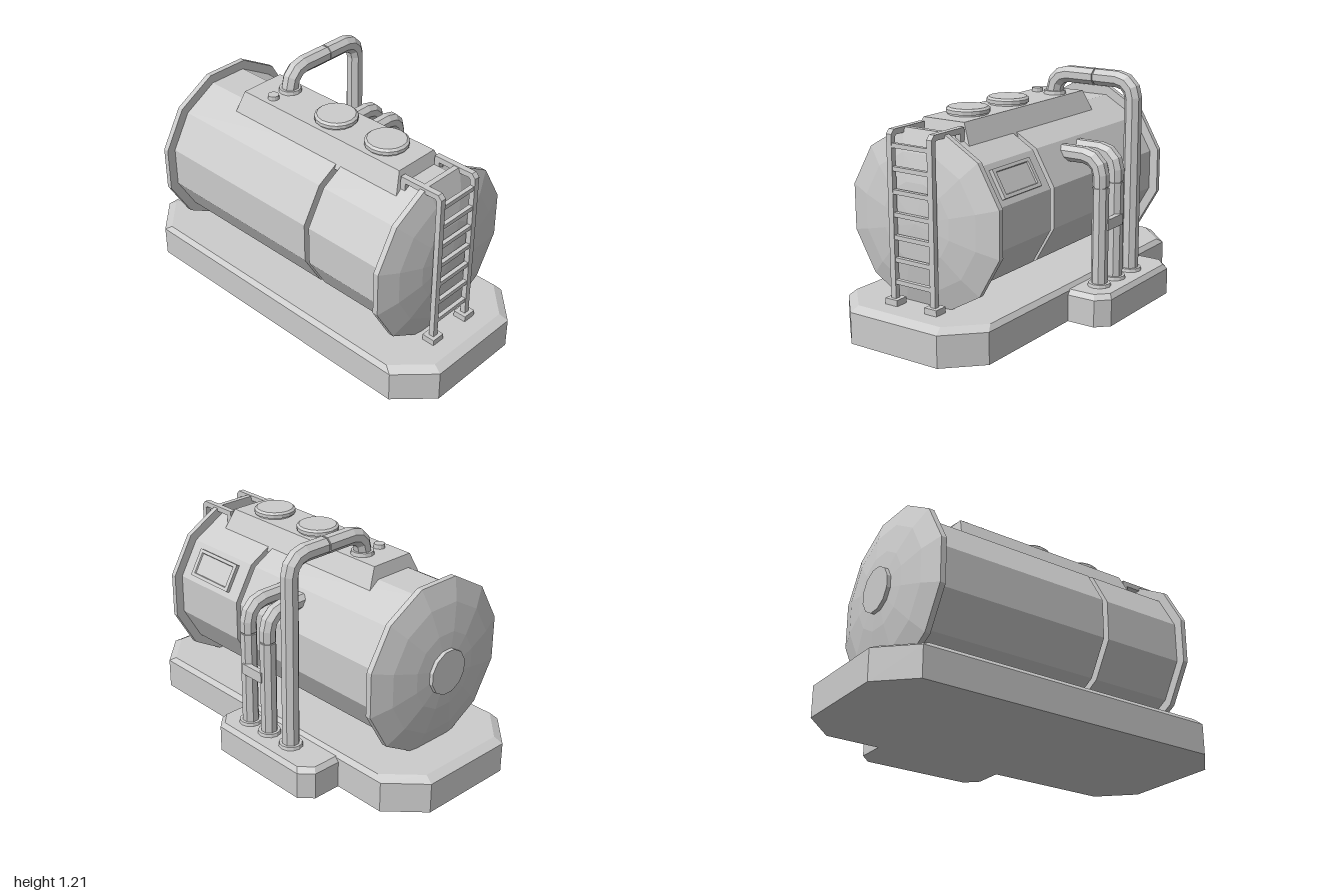
import * as THREE from 'three';

const material = new THREE.MeshStandardMaterial({ color: 0xcccccc, flatShading: true });
const TANK_X = -0.108, TANK_Y = 0.6;

function add(parent, name, geometry, x = 0, y = 0, z = 0) {
  const mesh = new THREE.Mesh(geometry, material);
  mesh.name = name;
  mesh.position.set(x, y, z);
  parent.add(mesh);
  return mesh;
}

// Closed solid through rings of corners, each running counterclockwise about the direction of travel
function loft(rings) {
  const n = rings[0].length, index = [];
  for (let r = 0; r < rings.length - 1; r++) {
    for (let i = 0; i < n; i++) {
      const j = (i + 1) % n, a = r * n, b = a + n;
      index.push(a + i, a + j, b + j, a + i, b + j, b + i);
    }
  }
  const last = (rings.length - 1) * n;
  for (let i = 1; i < n - 1; i++) index.push(0, i + 1, i, last, last + i, last + i + 1);
  const geometry = new THREE.BufferGeometry();
  geometry.setAttribute('position', new THREE.Float32BufferAttribute(rings.flat(2), 3));
  geometry.setIndex(index);
  geometry.computeVertexNormals();
  return geometry;
}

// Horizontal rectangle with cut corners
function plate(y, x0, x1, z0, z1, c = 0) {
  return [[x1, z1 - c], [x1, z0 + c], [x1 - c, z0], [x0 + c, z0],
    [x0, z0 + c], [x0, z1 - c], [x0 + c, z1], [x1 - c, z1]].map(([x, z]) => [x, y, z]);
}

// Eight-sided pipe along a path of [x, y, radiusScale], mitred at the bends
function pipe(path, radius) {
  const direction = (a, b) => new THREE.Vector2(b[0] - a[0], b[1] - a[1]).normalize();
  return loft(path.map((p, k) => {
    const d0 = direction(path[Math.max(k - 1, 0)], path[Math.max(k, 1)]);
    const d1 = direction(path[Math.min(k, path.length - 2)], path[Math.min(k + 1, path.length - 1)]);
    const t = d0.clone().add(d1).normalize();
    const r = radius * (p[2] ?? 1), miter = r / t.dot(d0);
    return Array.from({ length: 8 }, (_, i) => {
      const a = (i + 0.5) * Math.PI / 4, c = Math.cos(a) * miter;
      return [p[0] - t.y * c, p[1] + t.x * c, Math.sin(a) * r];
    });
  }));
}

// Clockwise quarter bend about a centre, starting at a given angle
function bend(cx, cy, r, start) {
  return [0, 1, 2, 3].map(i => {
    const a = start - i * Math.PI / 6;
    return [cx + r * Math.cos(a), cy + r * Math.sin(a)];
  });
}

// Narrow groove across a straight run
function groove(x, y, dx, dy) {
  return [[-1, 1], [-0.9, 0.86], [0.9, 0.86], [1, 1]].map(([k, s]) => [x + dx * k, y + dy * k, s]);
}

function collar(parent, name, radius, height, x, y, z, sides = 12) {
  return add(parent, name, new THREE.CylinderGeometry(radius * 0.94, radius, height, sides), x, y + height / 2, z);
}

function createModel() {
  const model = new THREE.Group();
  model.name = 'storageTank';

  // Plinths with chamfered tops
  add(model, 'base', loft([
    plate(0, -0.54, 0.325, -1, 1, 0.17), plate(0.16, -0.54, 0.325, -1, 1, 0.17),
    plate(0.185, -0.52, 0.305, -0.955, 0.955, 0.163)]));
  add(model, 'pipeBase', loft([
    plate(0, 0.2, 0.54, -0.545, 0.165, 0.063), plate(0.14, 0.2, 0.54, -0.545, 0.165, 0.063),
    plate(0.165, 0.2, 0.523, -0.525, 0.145, 0.06)]));

  // Twelve-sided tank: domed ends, rims and a seam groove
  const profile = [[0, -0.835], [0.2, -0.82], [0.34, -0.795], [0.453, -0.757], [0.453, -0.728],
    [0.404, -0.728], [0.404, 0.232], [0.36, 0.232], [0.36, 0.262], [0.404, 0.262], [0.404, 0.722],
    [0.453, 0.722], [0.453, 0.75], [0.34, 0.785], [0.2, 0.81], [0, 0.822]];
  const tank = new THREE.LatheGeometry(profile.map(p => new THREE.Vector2(...p)), 12, Math.PI / 12);
  add(model, 'tank', tank.rotateX(Math.PI / 2), TANK_X, TANK_Y, 0);
  const cap = new THREE.CylinderGeometry(0.117, 0.117, 0.04, 12, 1, false, Math.PI / 12);
  add(model, 'rearCap', cap.rotateX(Math.PI / 2), TANK_X, TANK_Y, -0.826);

  // Raised deck with hatches and a small vent
  add(model, 'deck', loft([
    plate(0.93, -0.29, 0.07, -0.483, 0.62), plate(0.95, -0.28, 0.062, -0.475, 0.615),
    plate(1.057, -0.233, 0.012, -0.453, 0.588)]));
  const hatch = [[0, 0], [0.1, 0], [0.1, 0.01], [0.109, 0.01], [0.109, 0.028], [0.097, 0.038], [0, 0.038]];
  for (const z of [0.4, 0.07]) {
    add(model, 'hatch', new THREE.LatheGeometry(hatch.map(p => new THREE.Vector2(...p)), 16), TANK_X, 1.056, z);
  }
  collar(model, 'vent', 0.03, 0.022, -0.178, 1.056, -0.3);

  // Framed panel on the sloping side
  const panel = add(model, 'sidePanel', loft([
    plate(-0.02, -0.075, 0.075, -0.15, 0.15), plate(0.02, -0.075, 0.075, -0.15, 0.15),
    plate(0.02, -0.058, 0.058, -0.128, 0.128), plate(0.012, -0.055, 0.055, -0.125, 0.125)]),
  TANK_X + 0.338, TANK_Y + 0.195, 0.49);
  panel.rotation.z = -Math.PI / 3;

  // Tall pipe from deck to plinth
  const px = 0.413;
  add(model, 'tallPipe', pipe([[-0.064, 1.04], ...bend(0.026, 1.08, 0.09, Math.PI),
    ...groove(0.19, 1.17, 0.004, 0), ...bend(px - 0.09, 1.08, 0.09, Math.PI / 2), [px, 0.15]], 0.045), 0, 0, -0.297);
  collar(model, 'pipeFlange', 0.06, 0.02, -0.064, 1.056, -0.297);
  collar(model, 'pipeFlange', 0.062, 0.018, px, 0.164, -0.297);

  // Two short pipes from the tank side, joined by a bracket
  for (const z of [0.01, -0.135]) {
    add(model, 'shortPipe', pipe([[0.19, 0.83], ...bend(px - 0.09, 0.74, 0.09, Math.PI / 2),
      ...groove(px, 0.68, 0, -0.004), [px, 0.15]], 0.043), 0, 0, z);
    collar(model, 'pipeFlange', 0.06, 0.018, px, 0.164, z);
  }
  add(model, 'pipeBracket', new THREE.BoxGeometry(0.03, 0.056, 0.14), 0.445, 0.488, -0.062);

  // Ladder with rails hooked over the end of the tank
  const ladder = new THREE.Group();
  ladder.name = 'ladder';
  model.add(ladder);
  const outline = [[0.82, 0.2], [0.848, 0.2], [0.848, 1.018], [0.828, 1.04], [0.607, 1.04], [0.607, 0.962],
    [0.635, 0.962], [0.635, 1.012], [0.812, 1.012], [0.82, 1.004]];
  const shape = new THREE.Shape(outline.map(p => new THREE.Vector2(...p)));
  for (const x of [-0.228, 0.012]) {
    const rail = new THREE.ExtrudeGeometry(shape, { depth: 0.03, bevelEnabled: false });
    add(ladder, 'rail', rail.rotateY(-Math.PI / 2), x + 0.015, 0, 0);
    add(ladder, 'railFoot', new THREE.BoxGeometry(0.072, 0.032, 0.07), x, 0.2, 0.832);
  }
  for (let i = 0; i < 7; i++) {
    add(ladder, 'rung', new THREE.BoxGeometry(0.23, 0.022, 0.022), TANK_X, 0.3 + i * 0.111, 0.834);
  }
  return model;
}

export { createModel };
